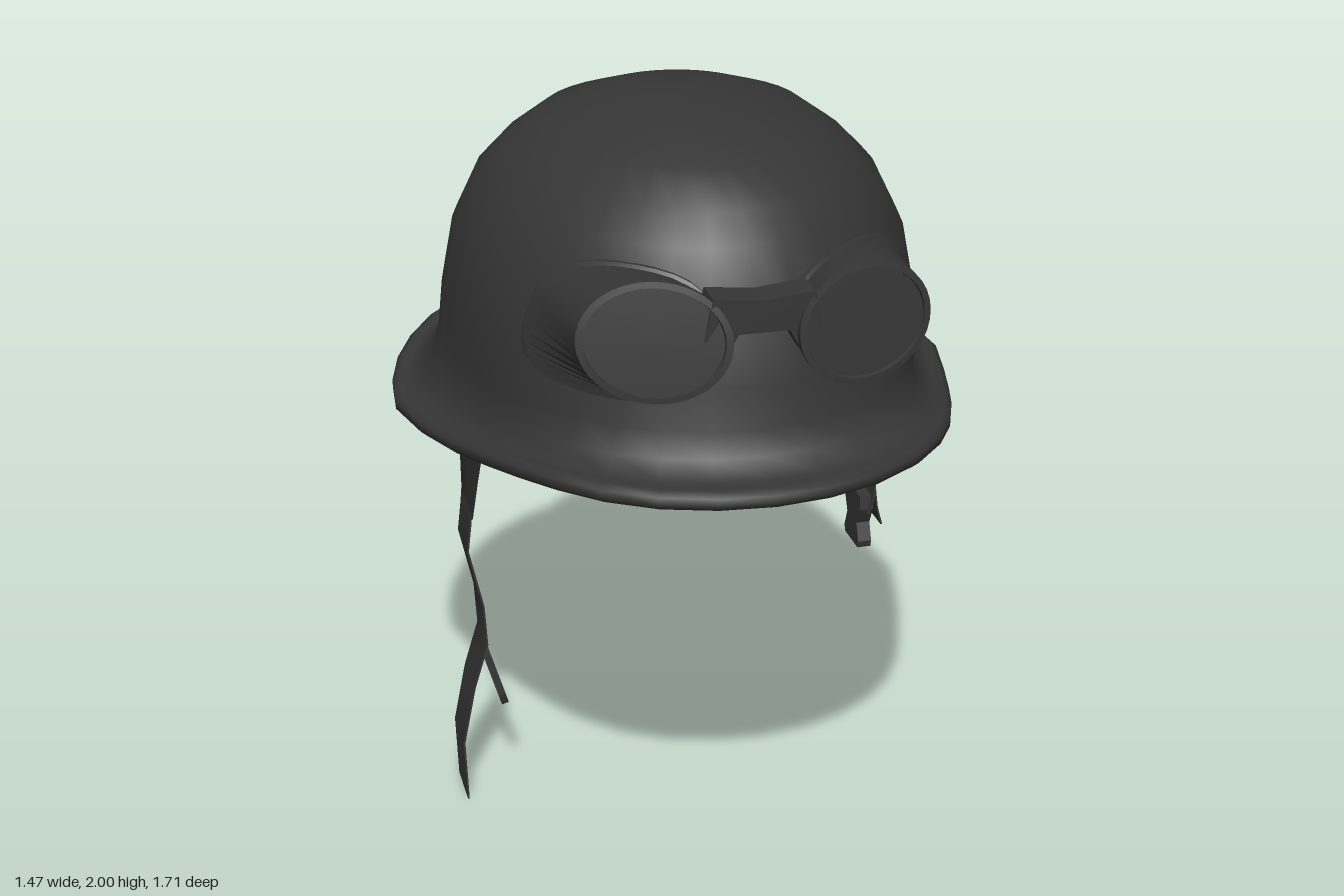
import * as THREE from 'three';
import { toCreasedNormals } from 'three/addons/utils/BufferGeometryUtils.js';

const charcoal = new THREE.MeshStandardMaterial({ color: 0x363636, side: THREE.DoubleSide });
charcoal.name = 'charcoal';

// Skin between rows of points (all rows have the same length)
function loft(rows, closed) {
  const n = rows[0].length, index = [];
  for (let r = 0; r < rows.length - 1; r++) {
    for (let i = 0; i < (closed ? n : n - 1); i++) {
      const a = r * n + i, b = r * n + (i + 1) % n;
      index.push(a, a + n, b, b, a + n, b + n);
    }
  }
  const g = new THREE.BufferGeometry();
  g.setAttribute('position', new THREE.Float32BufferAttribute(rows.flat(2), 3));
  g.setIndex(index);
  g.computeVertexNormals();
  return g;
}

function part(name, geometry) {
  const m = new THREE.Mesh(geometry, charcoal);
  m.name = name;
  return m;
}

const { smoothstep, lerp } = THREE.MathUtils;
const ZC = -0.1;
// Height of the brim edge: raised at the front, low at the ears
const rimY = z => 1.2 + 0.085 * smoothstep(z, 0, 0.7) + 0.055 * smoothstep(-z, 0.1, 0.9);

// Shell rings: height, share of brim wave, half width, front z, back z
const outer = [
  [2.0, 0, 0, ZC, ZC], [1.998, 0, 0.07, 0.04, -0.17], [1.983, 0, 0.2, 0.25, -0.28],
  [1.94, 0, 0.33, 0.43, -0.41], [1.87, 0, 0.43, 0.53, -0.495], [1.8, 0, 0.5, 0.585, -0.545],
  [1.67, 0, 0.565, 0.645, -0.59], [1.5, 0, 0.598, 0.685, -0.645], [1.37, 0.4, 0.612, 0.7, -0.695],
  [1.28, 0.9, 0.643, 0.725, -0.755],
];
const brim = [
  [1.247, 1, 0.685, 0.79, -0.805], [1.243, 1, 0.7, 0.812, -0.822], [1.246, 1, 0.72, 0.837, -0.842],
  [1.234, 1, 0.737, 0.853, -0.859], [1.212, 1, 0.737, 0.853, -0.859], [1.198, 1, 0.72, 0.837, -0.842],
  [1.2, 1, 0.695, 0.805, -0.815], [1.225, 1, 0.665, 0.765, -0.785],
  [1.27, 0.9, 0.62, 0.705, -0.735], [1.37, 0.4, 0.59, 0.675, -0.67],
];
// Liner rings above the lower edge
const lining = [
  [1.37, 0, 0.582, 0.668, -0.665], [1.5, 0, 0.575, 0.66, -0.62], [1.67, 0, 0.54, 0.62, -0.565],
  [1.8, 0, 0.47, 0.555, -0.515], [1.93, 0, 0.27, 0.36, -0.34], [1.965, 0, 0, ZC, ZC],
];

const evenAngles = Array.from({ length: 36 }, (_, i) => (i / 36) * Math.PI * 2);

function ring([y, k, w, zf, zb], angles) {
  return angles.map(t => {
    const c = Math.cos(t), s = Math.sin(t), a = Math.asin(Math.max(0, s));
    const x = w * c * (1 - 0.065 * k * Math.sin(3.6 * a));
    const z = ZC + s * (s > 0 ? zf - ZC : ZC - zb);
    return [x, y + k * (rimY(z) - 1.22), z];
  });
}

// Lining with ear flaps; half of the lower edge from front to back: x, z, y
function liner() {
  const half = [
    [0, 0.66, 1.31], [0.15, 0.63, 1.31], [0.31, 0.55, 1.31], [0.43, 0.43, 1.31], [0.51, 0.3, 1.31],
    [0.545, 0.21, 1.28], [0.553, 0.16, 1.2], [0.56, 0.07, 1.04], [0.56, -0.04, 0.88], [0.56, -0.07, 0.865],
    [0.56, -0.21, 0.865], [0.527, -0.28, 0.97], [0.487, -0.39, 1.06], [0.44, -0.49, 1.15],
    [0.37, -0.565, 1.19], [0.2, -0.65, 1.2], [0, -0.69, 1.2],
  ];
  const edge = [...half, ...half.slice(1, -1).reverse().map(([x, z, y]) => [-x, z, y])];
  const angles = edge.map(([x, z]) => Math.atan2((z - ZC) / (z > ZC ? 0.76 : 0.59), x / 0.56));
  return loft([
    edge.map(([x, z, y]) => [x, y, z]),
    edge.map(([x, z, y]) => [x, Math.max(1.25, y), z]),
    ...lining.map(row => ring(row, angles)),
  ], true);
}

// Front surface depth of the shell at x, y
function shellZ(x, y) {
  let i = 1;
  while (i < outer.length - 2 && outer[i][0] > y) i++;
  const A = outer[i - 1], B = outer[i], t = (A[0] - y) / (A[0] - B[0]);
  const w = lerp(A[2], B[2], t), zf = lerp(A[3], B[3], t);
  return ZC + (zf - ZC) * Math.sqrt(Math.max(0, 1 - (x / w) ** 2));
}

// Drooping outline where an eye cup meets the shell, starting at the outer side
const cupBase = new THREE.CatmullRomCurve3([
  [0.468, 1.61], [0.435, 1.69], [0.36, 1.745], [0.25, 1.762], [0.14, 1.735], [0.075, 1.65],
  [0.12, 1.545], [0.2, 1.485], [0.3, 1.46], [0.4, 1.463], [0.47, 1.483], [0.487, 1.53],
].map(([x, y]) => new THREE.Vector3(x, y, 0)), true);

// One eye cup, from the flange on the shell to the recessed lens
function eyeCup(s) {
  const N = 36;
  const base = (k, d) => Array.from({ length: N }, (_, i) => {
    const p = cupBase.getPoint(i / N);
    const x = lerp(0.28, p.x, k), y = lerp(1.61, p.y, k);
    return [s * x, y, shellZ(x, y) + d];
  });
  const oval = (rx, ry, d) => Array.from({ length: N }, (_, i) => {
    const t = (i / N) * Math.PI * 2;
    const x = 0.25 + rx * Math.cos(t), y = 1.635 + ry * Math.sin(t);
    return [s * x, y, 0.697 - 0.26 * (x - 0.25) - 0.15 * (y - 1.635) + d];
  });
  return toCreasedNormals(loft([
    base(1, -0.02), base(1, 0.012), base(0.95, 0.014),
    oval(0.173, 0.14, -0.02), oval(0.173, 0.14, 0), oval(0.157, 0.126, 0.002),
    oval(0.155, 0.124, -0.008), oval(0, 0, -0.004),
  ], true), 0.6);
}

// Thin ribbon following x, y points at the strap's depth
function strap(path) {
  const corners = [[-0.0025, -0.07], [0.0025, -0.07], [0.0025, -0.212], [-0.0025, -0.212], [-0.0025, -0.07]];
  return toCreasedNormals(loft(corners.map(([dx, z]) => path.map(([x, y]) => [x + dx, y, z])), false), 0.7);
}

// Plate outlined in (z, y), extruded along x
function plate(outline, thickness) {
  const shape = new THREE.Shape(outline.map(([z, y]) => new THREE.Vector2(-z, y)));
  const g = new THREE.ExtrudeGeometry(shape, { depth: thickness, bevelEnabled: false });
  g.translate(0, 0, -thickness / 2);
  g.rotateY(Math.PI / 2);
  return g;
}

export function createModel() {
  const model = new THREE.Group();
  model.name = 'helmet';
  model.add(part('shell', loft([...outer, ...brim].map(row => ring(row, evenAngles)), true)));
  model.add(part('linerWithEarFlaps', liner()));

  // Goggles
  const goggles = new THREE.Group();
  goggles.name = 'goggles';
  for (const s of [1, -1]) goggles.add(part(s > 0 ? 'leftEyeCup' : 'rightEyeCup', eyeCup(s)));
  const side = [[0.12, 1.735], [0.14, 1.64], [0.12, 1.56], [0.09, 1.59], [0.06, 1.645]];
  const outline = [[0, 1.722], ...side, ...side.map(([x, y]) => [-x, y]).reverse()];
  const bridge = new THREE.ExtrudeGeometry(
    new THREE.Shape(outline.map(p => new THREE.Vector2(...p))), { depth: 0.085, bevelEnabled: false });
  bridge.translate(0, 0, 0.635);
  goggles.add(part('bridge', bridge));
  model.add(goggles);

  // Chin straps
  model.add(part('rightStrap', strap([
    [-0.557, 0.9], [-0.562, 0.85], [-0.572, 0.77], [-0.536, 0.6], [-0.53, 0.48],
    [-0.57, 0.35], [-0.605, 0.18], [-0.6, 0],
  ])));
  model.add(part('leftStrap', strap([
    [0.557, 0.9], [0.568, 0.84], [0.564, 0.78], [0.55, 0.74],
  ])));
  model.add(part('leftStrapEnd', strap([[0.566, 0.83], [0.575, 0.76], [0.59, 0.705]])));

  // Buckle socket, waisted, on the left strap
  const socket = part('buckleSocket', plate([
    [-0.085, 0.79], [-0.2, 0.79], [-0.21, 0.75], [-0.185, 0.7], [-0.205, 0.65], [-0.2, 0.63],
    [-0.09, 0.63], [-0.085, 0.65], [-0.105, 0.7], [-0.08, 0.75],
  ], 0.038));
  socket.position.x = 0.548;
  model.add(socket);

  // Buckle clip with three prongs on the right strap
  const clip = part('buckleClip', plate([
    [-0.092, 0.08], [-0.208, 0.08], [-0.21, -0.05], [-0.2, -0.085], [-0.182, -0.08], [-0.18, -0.02],
    [-0.165, -0.02], [-0.162, -0.07], [-0.138, -0.07], [-0.135, -0.02],
    [-0.12, -0.02], [-0.118, -0.08], [-0.1, -0.085], [-0.09, -0.05],
  ], 0.02));
  clip.position.set(-0.505, 0.355, 0);
  clip.rotation.z = 0.28;
  model.add(clip);
  return model;
}
